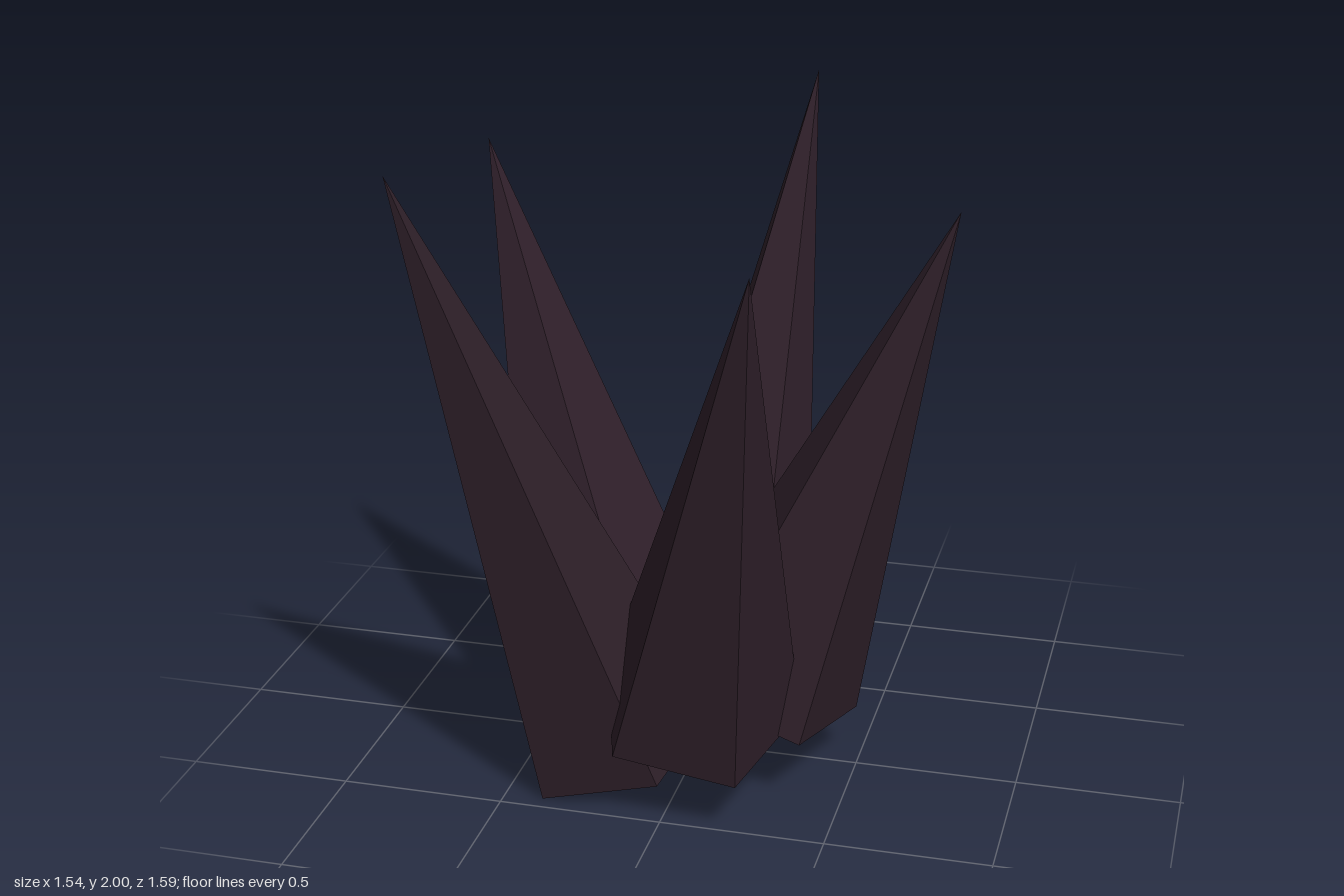
import * as THREE from 'three';

// Each spike: tip, centre of its base, and one base corner that fixes its twist
const SPIKES = [
  { name: 'backSpike', tip: [0.18, 2.0, -0.8], base: [-0.007, 0.113, -0.131], corner: [-0.01, 0.01, -0.43] },
  { name: 'frontRightSpike', tip: [-0.71, 2.0, 0.68], base: [-0.214, 0.111, 0.204], corner: [-0.38, 0.01, 0.45] },
  { name: 'frontLeftSpike', tip: [0.33, 1.83, 0.79], base: [0.06, 0.284, 0.3], corner: [0.24, 0.18, 0.54] },
  { name: 'leftSpike', tip: [0.77, 1.83, 0.065], base: [0.206, 0.284, 0.061], corner: [0.49, 0.18, -0.04] },
  { name: 'backRightSpike', tip: [-0.77, 1.83, -0.365], base: [-0.29, 0.284, -0.075], corner: [-0.575, 0.18, -0.2] },
];
const RADIUS = 0.318;

// Five-sided closed cone leaning from its base centre to its tip
function makeSpike({ name, tip, base, corner }, material) {
  const foot = new THREE.Vector3(...base);
  const axis = new THREE.Vector3(...tip).sub(foot);
  const height = axis.length();
  axis.normalize();
  const toCorner = new THREE.Vector3(...corner).sub(foot).projectOnPlane(axis).normalize();
  const side = new THREE.Vector3().crossVectors(axis, toCorner);

  const geometry = new THREE.ConeGeometry(RADIUS, height, 5);
  geometry.translate(0, height / 2, 0);
  const mesh = new THREE.Mesh(geometry, material);
  mesh.name = name;
  mesh.quaternion.setFromRotationMatrix(new THREE.Matrix4().makeBasis(side, axis, toCorner));
  mesh.position.copy(foot);
  return mesh;
}

export function createModel() {
  const group = new THREE.Group();
  group.name = 'spikeCluster';
  const material = new THREE.MeshStandardMaterial({ color: 0x2e1f29, flatShading: true });
  for (const spike of SPIKES) group.add(makeSpike(spike, material));
  return group;
}
